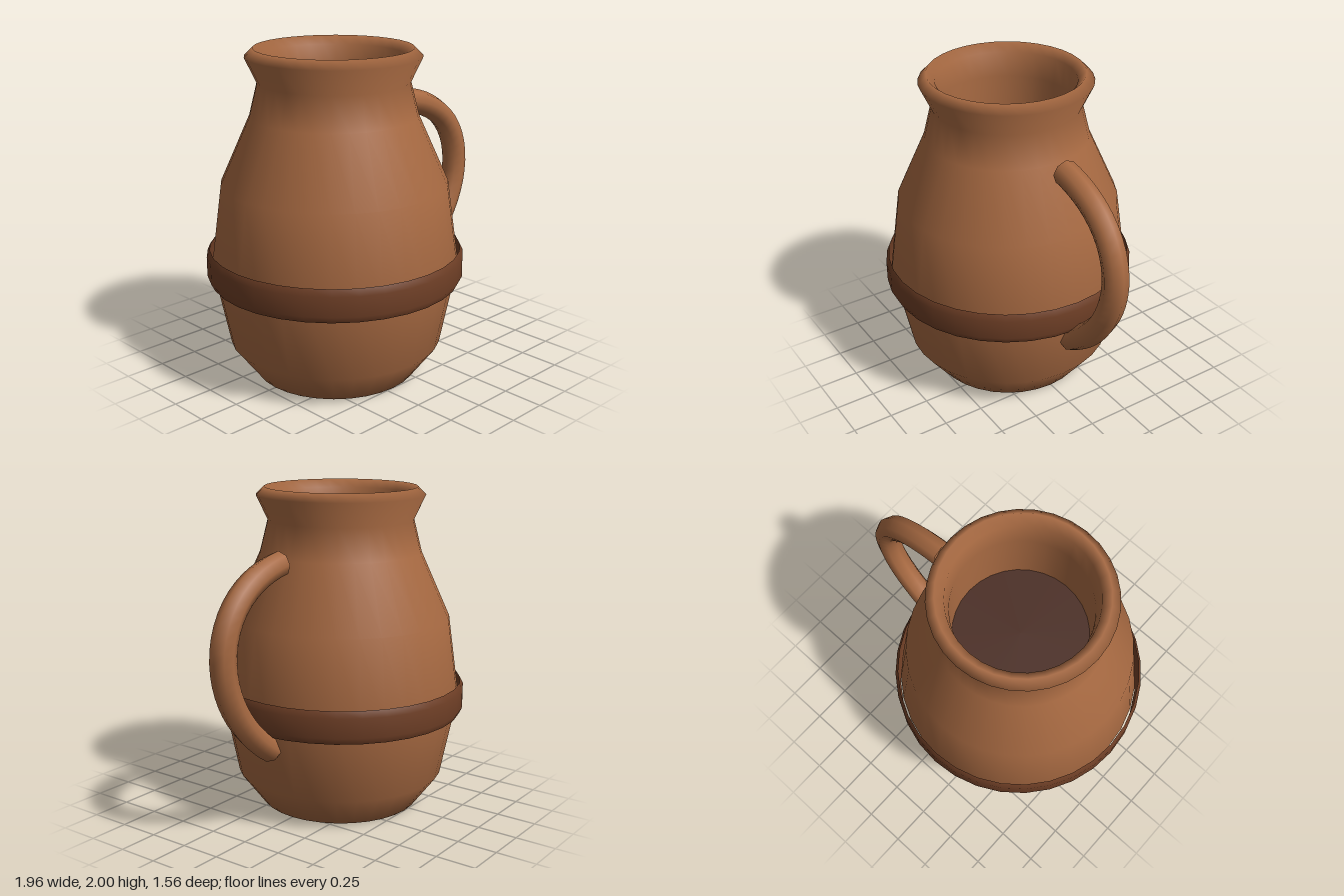
import * as THREE from 'three';

const material = (name, color, side = THREE.DoubleSide) => {
  const m = new THREE.MeshStandardMaterial({ color, side });
  m.name = name;
  return m;
};

export function createModel() {
  const clay = material('clay', 0xa86a42);
  const darkClay = material('darkClay', 0x6f3f26);
  const shade = material('shade', 0x4a2c22);

  const jug = new THREE.Group();
  jug.name = 'jug';
  const axisX = -0.2;

  const add = (name, geometry, mat, x = 0, y = 0) => {
    const mesh = new THREE.Mesh(geometry, mat);
    mesh.name = name;
    mesh.position.set(x, y, 0);
    jug.add(mesh);
    return mesh;
  };
  const lathe = (points) =>
    new THREE.LatheGeometry(points.map(([r, y]) => new THREE.Vector2(r, y)), 32);

  // Body: base, belly, neck, flared lip and the inside of the neck
  add('body', lathe([
    [0, 0], [0.5, 0], [0.65, 0.2], [0.75, 0.7], [0.68, 1.2], [0.5, 1.6],
    [0.45, 1.8], [0.52, 1.95], [0.47, 2], [0.42, 1.95], [0.4, 1.8], [0.4, 1.4],
  ]), clay, axisX);

  // Dark surface deep inside the neck
  const inside = add('inside', new THREE.CircleGeometry(0.4, 32), shade, axisX, 1.4);
  inside.rotation.x = -Math.PI / 2;

  // Raised band around the belly
  add('band', lathe([[0.76, 0.6], [0.78, 0.64], [0.78, 0.76], [0.76, 0.8]]), darkClay, axisX);

  // Bent handle on the left side
  const path = new THREE.CubicBezierCurve3(
    new THREE.Vector3(0.4, 1.6, 0),
    new THREE.Vector3(1.05, 1.5, 0),
    new THREE.Vector3(1.05, 0.85, 0),
    new THREE.Vector3(0.5, 0.5, 0),
  );
  add('handle', new THREE.TubeGeometry(path, 24, 0.077, 8, false), clay);

  return jug;
}
